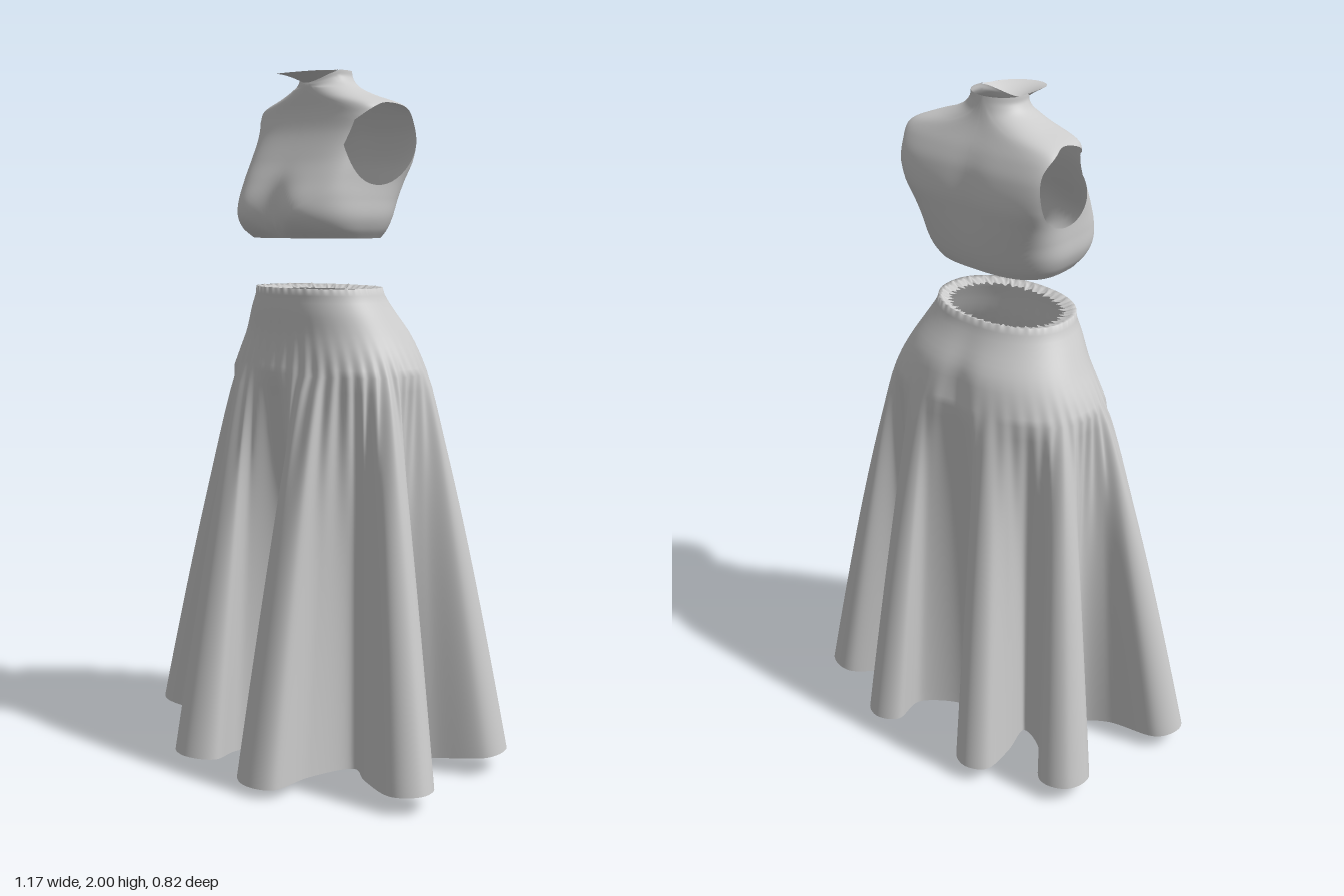
import * as THREE from 'three';
import { mergeGeometries, mergeVertices } from 'three/addons/utils/BufferGeometryUtils.js';

const { lerp, degToRad } = THREE.MathUtils;
const gauss = (d, w) => Math.exp(-(d * d) / (w * w));

// Regular grid surface; fn(i, j) returns [x, y, z]
function grid(cols, rows, fn, closed, flip) {
  const pos = [], idx = [], n = closed ? cols : cols + 1;
  for (let j = 0; j <= rows; j++) for (let i = 0; i < n; i++) pos.push(...fn(i, j));
  for (let j = 0; j < rows; j++) {
    for (let i = 0; i < cols; i++) {
      const k = (i + 1) % n, a = j * n + i, b = j * n + k, c = a + n, d = b + n;
      if (flip) idx.push(a, c, b, b, c, d);
      else idx.push(a, b, c, b, d, c);
    }
  }
  const g = new THREE.BufferGeometry();
  g.setAttribute('position', new THREE.Float32BufferAttribute(pos, 3));
  g.setIndex(idx);
  g.computeVertexNormals();
  return g;
}

// Smooth lookup in rows sorted by rising first value
function sample(rows, y) {
  let i = 0;
  while (i < rows.length - 2 && y > rows[i + 1][0]) i++;
  const at = k => rows[Math.min(Math.max(k, 0), rows.length - 1)];
  const [p, a, b, q] = [at(i - 1), at(i), at(i + 1), at(i + 2)];
  const t = Math.min(Math.max((y - a[0]) / (b[0] - a[0]), 0), 1), h = b[0] - a[0];
  return a.map((_, k) => {
    const m0 = (b[k] - p[k]) / (b[0] - p[0]) * h, m1 = (q[k] - a[k]) / (q[0] - a[0]) * h;
    const t2 = t * t, t3 = t2 * t;
    return (2 * t3 - 3 * t2 + 1) * a[k] + (t3 - 2 * t2 + t) * m0 + (3 * t2 - 2 * t3) * b[k] + (t3 - t2) * m1;
  });
}

// Point on a rounded-box cross-section
function section(angle, w, front, back, n) {
  const c = Math.cos(angle), s = Math.sin(angle);
  const r = Math.pow(Math.pow(Math.abs(c), n) + Math.pow(Math.abs(s), n), -1 / n);
  return [w * r * c, (front + back) / 2 + (front - back) / 2 * r * s];
}

// ---- Skirt: waist and yoke flow into eight deep folds ----
// y, half width, front z, back z
const YOKE = [
  [1.15, 0.338, 0.182, -0.245], [1.2, 0.315, 0.172, -0.232], [1.26, 0.28, 0.163, -0.212],
  [1.33, 0.24, 0.16, -0.167], [1.37, 0.217, 0.155, -0.146], [1.39, 0.213, 0.155, -0.14],
];
// valley x, z, hem y, yoke angle; then the fold's base x, z, tip x, z, half width, hem y
const FOLDS = [
  [0, 0.045, 0.0, 90, -0.17, 0.17, -0.135, 0.41, 0.08, 0.025],
  [-0.26, 0.1, 0.025, 140, -0.3, 0.08, -0.585, 0.15, 0.07, 0.055],
  [-0.3, -0.02, 0.025, 185, -0.28, -0.1, -0.48, -0.295, 0.075, 0.06],
  [-0.2, -0.15, 0.03, 228, -0.18, -0.2, -0.17, -0.405, 0.062, 0.05],
  [0, -0.17, 0.03, 270, 0.18, -0.2, 0.19, -0.41, 0.062, 0.05],
  [0.2, -0.15, 0.03, 312, 0.28, -0.1, 0.495, -0.29, 0.075, 0.06],
  [0.3, -0.02, 0.025, 355, 0.3, 0.08, 0.585, 0.14, 0.07, 0.055],
  [0.26, 0.1, 0.025, 400, 0.17, 0.17, 0.145, 0.41, 0.085, 0.025],
];

function skirtGeometry() {
  const pts = [];
  for (const [vx, vz, vy, , bx, bz, tx, tz, hw, ty] of FOLDS) {
    pts.push(new THREE.Vector3(vx, vy, vz));
    const len = Math.hypot(tx - bx, tz - bz), nx = -(tz - bz) / len, nz = (tx - bx) / len;
    for (const [f, side] of [[0.25, -0.75], [0.8, -1], [1, 0], [0.8, 1], [0.25, 0.75]]) {
      pts.push(new THREE.Vector3(lerp(bx, tx, f) + nx * hw * side, lerp(vy, ty, f), lerp(bz, tz, f) + nz * hw * side));
    }
  }
  const hem = new THREE.CatmullRomCurve3(pts, true, 'catmullrom', 0.5);
  const N = 576, per = N / FOLDS.length, RIM = 2, TOP = 12, LOW = 26;
  const hemPts = [], angles = [];
  for (let i = 0; i < N; i++) {
    const k = Math.floor(i / per), next = k === 7 ? 450 : FOLDS[k + 1][3], f = (i % per) / per;
    hemPts.push(hem.getPoint(i / N));
    // folds start narrow at the yoke
    angles.push(degToRad(lerp(FOLDS[k][3], next, f + 0.07 * Math.sin(f * Math.PI * 2))));
  }
  const yoke = (a, y) => {
    const [, w, f, b] = sample(YOKE, y);
    const p = section(a, w, f, b, 2.2);
    if (p[1] < 0) p[1] += 0.016 * gauss(p[0], 0.05) * gauss(y - 1.18, 0.12);
    return p;
  };
  return grid(N, RIM + TOP + LOW, (i, j) => {
    const a = angles[i];
    if (j < RIM) {
      // gathered rim turned in at the waist
      const ruffle = 0.04 * Math.sin(a * 47) + 0.025 * Math.sin(a * 29 + 1);
      const s = j === 0 ? 0.82 + ruffle : 0.94 + ruffle * 0.3, p = yoke(a, 1.39);
      return [p[0] * s, j === 0 ? 1.378 : 1.386 + ruffle * 0.1, p[1] * s];
    }
    const s0 = Math.sin(a), frontness = 0.6 + 0.4 * s0;
    const pleat = 0.02 * frontness * Math.sin(a * 44);
    const rise = 0.08 + 0.05 * Math.max(s0, 0) ** 8;
    if (j <= RIM + TOP) {
      const y = lerp(1.39, 1.15, (j - RIM) / TOP), p = yoke(a, y);
      const s = 1 + pleat * gauss(y - 1.1, rise);
      return [p[0] * s, y, p[1] * s];
    }
    const t = (j - RIM - TOP) / LOW, h = hemPts[i], p = yoke(a, 1.15);
    const y = lerp(1.15, h.y, t), s = 1 + pleat * gauss(y - 1.1, y < 1.1 ? 0.28 : rise);
    const m = Math.pow(t, 0.84);
    return [lerp(p[0], h.x, m) * s, y, lerp(p[1], h.z, m) * s];
  }, true, false);
}

// ---- Bodice: each half is a sheet spread out around its armhole ----
// y, half width, front z, back z, squareness
const TORSO = [
  [1.53, 0.195, 0.15, -0.125, 2.8], [1.555, 0.212, 0.175, -0.138, 3], [1.59, 0.224, 0.187, -0.15, 3.1],
  [1.64, 0.226, 0.182, -0.162, 3.4], [1.69, 0.228, 0.16, -0.171, 4], [1.75, 0.236, 0.122, -0.178, 5],
  [1.82, 0.248, 0.082, -0.166, 5.5], [1.87, 0.25, 0.063, -0.145, 5.5], [1.9, 0.236, 0.057, -0.128, 4.5],
  [1.93, 0.155, 0.056, -0.112, 3], [1.955, 0.105, 0.054, -0.102, 2.2], [1.98, 0.083, 0.053, -0.095, 2],
  [2.0, 0.08, 0.05, -0.09, 2],
];

function torsoPoint(angle, y, side) {
  const [, w, f, b, n] = sample(TORSO, y);
  const [x, z] = section(angle, w, f, b, n), sin = Math.sin(angle);
  // bust in front, shallow spine hollow behind
  const dz = z > 0
    ? 0.02 * gauss(x - 0.115, 0.07) * gauss(y - 1.6, 0.07) - 0.015 * gauss(x, 0.05) * gauss(y - 1.6, 0.08)
    : 0.008 * gauss(x, 0.05) * gauss(y - 1.75, 0.12);
  // the chest is narrower than the back, and the neck edge dips at the front
  const taper = 1 - 0.11 * sin * gauss(y - 1.81, 0.11);
  const dip = y > 1.95 && z > 0 ? 0.034 * ((y - 1.95) / 0.05) * Math.max(sin, 0) ** 2 : 0;
  return [x * side * taper, y - dip, z + dz];
}

function armhole(phi) {
  const y = 1.79 + 0.113 * Math.sin(phi);
  const z = -0.033 + 0.117 * Math.cos(phi) - 0.15 * (y - 1.79);
  const [, , f, b, n] = sample(TORSO, y);
  const zr = Math.min(Math.max((z - (f + b) / 2) / ((f - b) / 2), -0.9), 0.88);
  return [Math.atan2(zr, Math.pow(1 - Math.pow(Math.abs(zr), n), 1 / n)), y];
}

function bodiceGeometry() {
  const N = 128, M = 28;
  const halves = [1, -1].map(side => grid(N, M, (i, j) => {
    const phi = i / N * Math.PI * 2, c = Math.cos(phi), s = Math.sin(phi), m = Math.max(Math.abs(c), Math.abs(s));
    const [ha, hy] = armhole(phi), t = j / M;
    return torsoPoint(lerp(ha, c / m * Math.PI / 2, t), lerp(hy, 1.765 + 0.235 * s / m, t), side);
  }, true, side > 0));
  const g = mergeGeometries(halves);
  g.deleteAttribute('normal');
  const welded = mergeVertices(g, 1e-5);
  welded.computeVertexNormals();
  return welded;
}

// Collar lip curving forward from the front of the neck
function collarGeometry() {
  return grid(32, 8, (i, j) => {
    const a = lerp(0.06, 0.94, i / 32) * Math.PI, t = j / 8, s = Math.sin(a);
    const [x, y, z] = torsoPoint(a, 2.0, 1);
    const rise = Math.sin(t * Math.PI / 2);
    return [lerp(x, Math.cos(a) * 0.07, t), lerp(y, 1.998 - 0.012 * s, rise), lerp(z, 0.035 + 0.112 * s, t)];
  }, false, false);
}

export function createModel() {
  const cloth = new THREE.MeshStandardMaterial({ color: 0xcccccc, side: THREE.DoubleSide });
  cloth.name = 'grey cloth';
  const model = new THREE.Group();
  model.name = 'dress';
  const parts = { skirt: skirtGeometry(), bodice: bodiceGeometry(), collar: collarGeometry() };
  for (const [name, geometry] of Object.entries(parts)) {
    const mesh = new THREE.Mesh(geometry, cloth);
    mesh.name = name;
    model.add(mesh);
  }
  return model;
}
